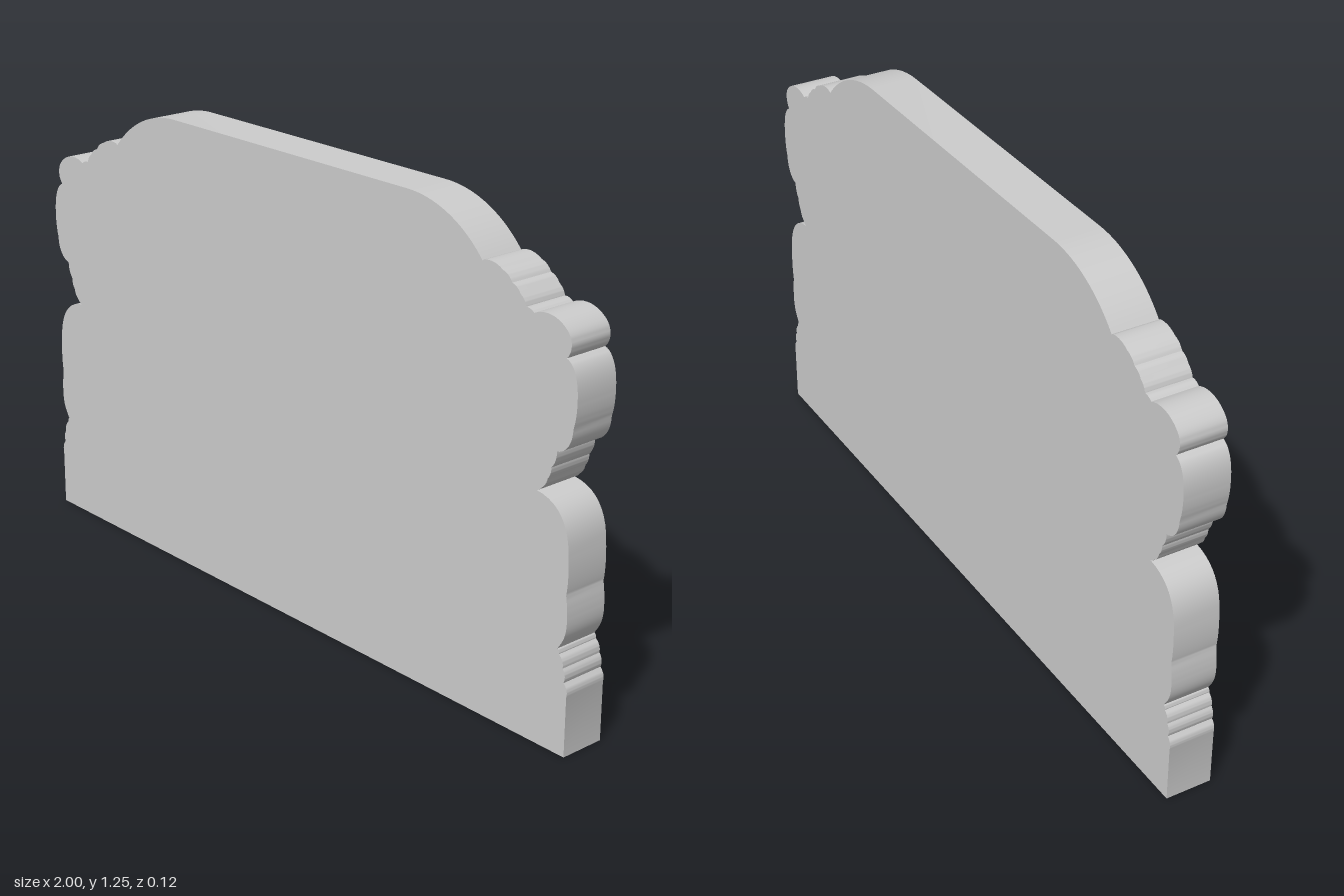
import * as THREE from 'three';
import { toCreasedNormals } from 'three/addons/utils/BufferGeometryUtils.js';

const DEPTH = 0.125;

// Sample the left (+x) edge of the outline from the base up to the crown.
function sideOutline() {
  const path = new THREE.Path();
  const scallops = (points, bulge) => {
    for (const [x, y] of points) {
      const { x: px, y: py } = path.currentPoint;
      path.quadraticCurveTo((px + x) / 2 + (y - py) * bulge, (py + y) / 2 - (x - px) * bulge, x, y);
    }
  };
  path.moveTo(1, 0);
  path.lineTo(1, 0.155);
  // small steps above the plinth
  scallops([[0.99, 0.19], [0.985, 0.225], [0.972, 0.257], [0.967, 0.27]], 0.3);
  // lower lobe
  path.bezierCurveTo(0.975, 0.285, 0.992, 0.3, 0.992, 0.345);
  path.quadraticCurveTo(0.992, 0.38, 0.986, 0.41);
  path.bezierCurveTo(0.99, 0.43, 0.992, 0.47, 0.988, 0.51);
  path.bezierCurveTo(0.985, 0.58, 0.955, 0.63, 0.882, 0.637);
  // waist ripples
  scallops([[0.898, 0.648], [0.915, 0.675], [0.925, 0.705], [0.94, 0.748]], 0.2);
  // upper lobe
  path.bezierCurveTo(0.965, 0.752, 0.985, 0.775, 0.986, 0.815);
  path.bezierCurveTo(0.994, 0.84, 0.995, 0.87, 0.994, 0.895);
  path.bezierCurveTo(0.992, 0.935, 0.98, 0.965, 0.957, 0.973);
  // rounded knob
  path.bezierCurveTo(0.975, 0.99, 0.975, 1.02, 0.955, 1.038);
  path.bezierCurveTo(0.93, 1.062, 0.89, 1.07, 0.855, 1.052);
  // shoulder ripples
  scallops([[0.83, 1.06], [0.812, 1.085], [0.785, 1.105], [0.755, 1.128], [0.695, 1.138]], 0.22);
  // curved crown
  path.absarc(0.44, 0.92, 0.33, Math.atan2(0.218, 0.255), Math.PI / 2, false);
  return path.getPoints(10);
}

export function createModel() {
  const group = new THREE.Group();
  group.name = 'headboard';

  const stone = new THREE.MeshStandardMaterial({ color: 0xcccccc });
  stone.name = 'plain grey';

  // Mirror the edge to close the silhouette
  const side = sideOutline();
  const mirrored = side.map((p) => new THREE.Vector2(-p.x, p.y)).reverse();
  const shape = new THREE.Shape([...side, ...mirrored]);

  const geometry = new THREE.ExtrudeGeometry(shape, { depth: DEPTH, bevelEnabled: false });
  geometry.translate(0, 0, -DEPTH / 2);
  const panel = new THREE.Mesh(toCreasedNormals(geometry, 0.5), stone);
  panel.name = 'scallopedPanel';
  group.add(panel);
  return group;
}
